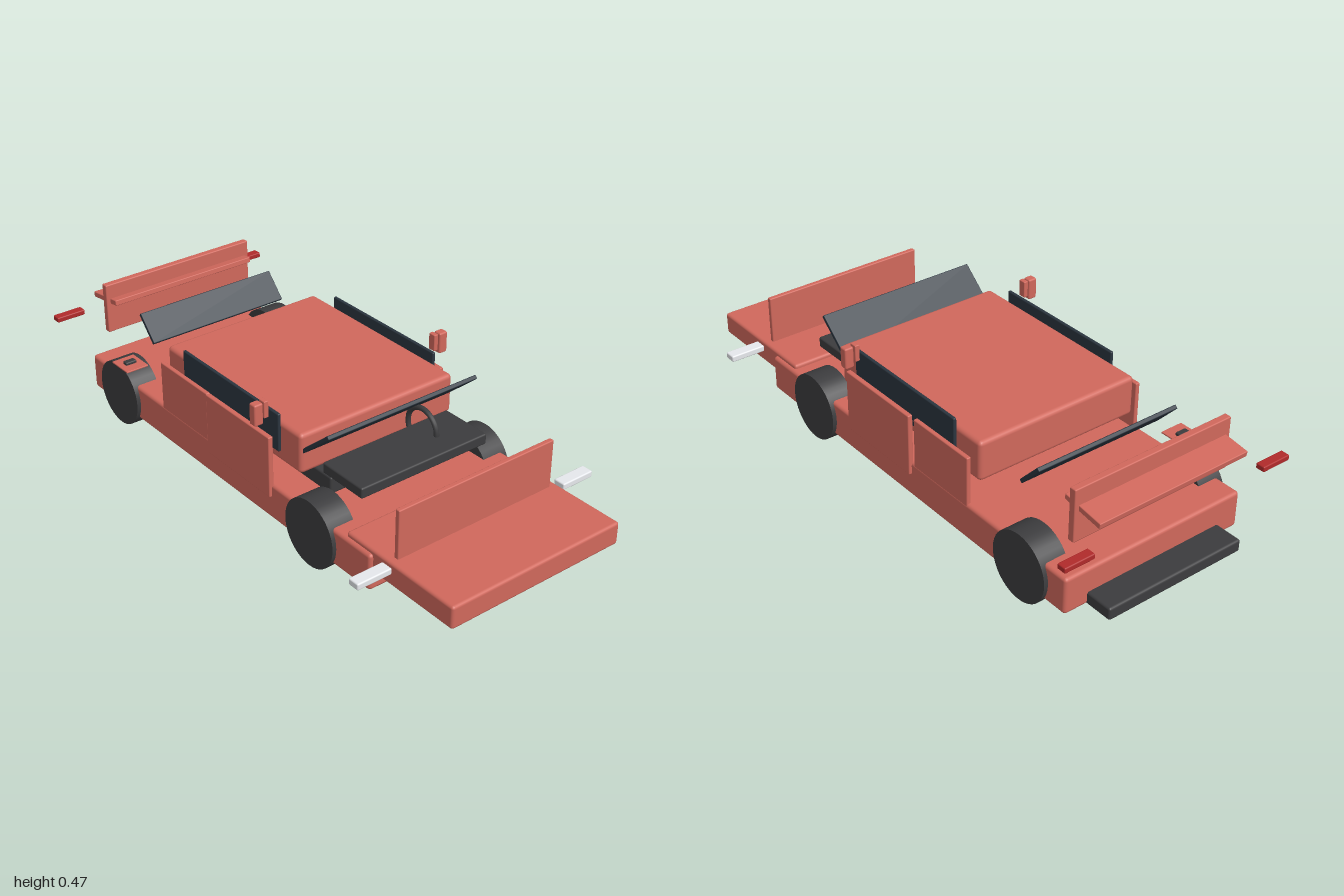
import * as THREE from 'three';
import { RoundedBoxGeometry } from 'three/addons/geometries/RoundedBoxGeometry.js';

const paint = new THREE.MeshStandardMaterial({ color: 0xd0685c });
const rubber = new THREE.MeshStandardMaterial({ color: 0x3c3c3e });
const glass = new THREE.MeshStandardMaterial({ color: 0x2b353f });
const lampWhite = new THREE.MeshStandardMaterial({ color: 0xe6e8ec });
const lampRed = new THREE.MeshStandardMaterial({ color: 0xb02a2a });

export function createModel() {
  const car = new THREE.Group();
  car.name = 'explodedCar';

  const add = (name, geometry, material, x, y, z) => {
    const mesh = new THREE.Mesh(geometry, material);
    mesh.name = name;
    mesh.position.set(x, y, z);
    car.add(mesh);
    return mesh;
  };

  // Softly bevelled box given by its minimum and maximum on each axis
  const slab = (name, material, [x0, x1], [y0, y1], [z0, z1], bevel = 0.004) => {
    const geometry = new RoundedBoxGeometry(x1 - x0, y1 - y0, z1 - z0, 2, bevel);
    return add(name, geometry, material, (x0 + x1) / 2, (y0 + y1) / 2, (z0 + z1) / 2);
  };

  // Thin panel across the car, leaning by an angle about the x axis
  const panel = (name, material, width, height, depth, y, z, lean) => {
    const mesh = add(name, new RoundedBoxGeometry(width, height, depth, 2, 0.003), material, 0, y, z);
    mesh.rotation.x = lean;
    return mesh;
  };

  // Body shell, hood and roof
  slab('lowerBody', paint, [-0.35, 0.35], [0.056, 0.185], [-0.903, 0.655], 0.012);
  slab('hood', paint, [-0.337, 0.337], [0.12, 0.2], [0.53, 1], 0.01);
  slab('roof', paint, [-0.31, 0.31], [0.255, 0.397], [-0.46, 0.273], 0.015);

  // Upright end panels and the rear spoiler
  slab('frontPanel', paint, [-0.31, 0.31], [0.1, 0.37], [0.716, 0.734]);
  slab('trunkPanel', paint, [-0.305, 0.305], [0.28, 0.463], [-0.878, -0.853]);
  panel('spoiler', paint, 0.58, 0.02, 0.15, 0.394, -0.892, -0.14);
  slab('rearBumper', rubber, [-0.265, 0.265], [0.056, 0.1], [-1, -0.85], 0.008);

  // Windscreen and rear window
  panel('windscreen', glass, 0.6, 0.19, 0.014, 0.382, 0.322, 0.86);
  panel('rearWindow', glass, 0.55, 0.115, 0.014, 0.37, -0.645, -0.75);

  // Dashboard, cabin block and steering wheel
  slab('dashboard', rubber, [-0.255, 0.255], [0.262, 0.3], [0.31, 0.5], 0.006);
  slab('cabinInterior', rubber, [-0.25, 0.25], [0.195, 0.258], [0.18, 0.345], 0.008);
  const steering = add('steeringWheel', new THREE.TorusGeometry(0.068, 0.009, 10, 40), rubber, 0.12, 0.3, 0.345);
  steering.rotation.y = Math.PI / 2;

  // Fuel flap on the right rear side
  slab('fuelFlap', paint, [-0.392, -0.306], [0.255, 0.261], [-0.695, -0.598], 0.002);
  slab('fuelCap', rubber, [-0.37, -0.328], [0.246, 0.271], [-0.66, -0.637], 0.004);

  const wheelGeometry = new THREE.CylinderGeometry(0.118, 0.118, 0.095, 40).rotateZ(Math.PI / 2);

  // Mirrored side parts
  for (const [side, s] of [['left', 1], ['right', -1]]) {
    const span = (a, b) => (s > 0 ? [a, b] : [-b, -a]);
    slab(`${side}FrontDoor`, paint, span(0.342, 0.36), [0.14, 0.36], [-0.165, 0.175]);
    slab(`${side}RearDoor`, paint, span(0.333, 0.349), [0.15, 0.352], [-0.447, -0.177]);
    slab(`${side}SideWindow`, glass, span(0.31, 0.322), [0.295, 0.43], [-0.347, 0.175]);
    slab(`${side}Mirror`, paint, span(0.36, 0.393), [0.4, 0.475], [0.122, 0.153], 0.006);
    slab(`${side}MirrorMount`, paint, span(0.338, 0.355), [0.416, 0.475], [0.122, 0.15], 0.003);
    slab(`${side}Headlight`, lampWhite, span(0.35, 0.478), [0.178, 0.201], [0.712, 0.755], 0.005);
    slab(`${side}TailLight`, lampRed, span(0.333, 0.443), [0.315, 0.334], [-1, -0.967], 0.004);
    add(`${side}FrontWheel`, wheelGeometry, rubber, s * 0.317, 0.12, 0.38);
    add(`${side}RearWheel`, wheelGeometry, rubber, s * 0.317, 0.12, -0.71);
  }

  return car;
}
